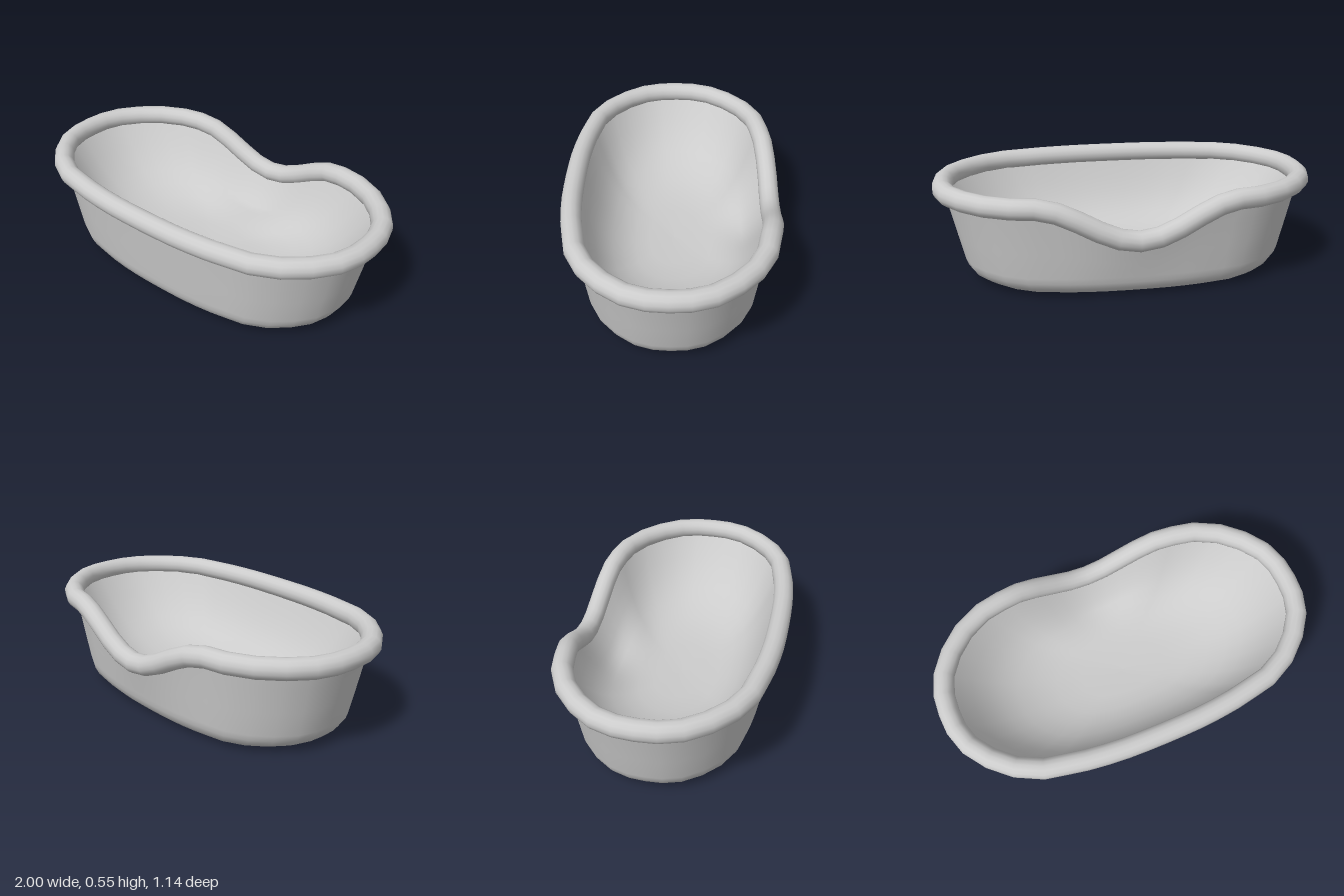
import * as THREE from 'three';

const RIM_Y = 0.492, RIM_R = 0.053, DIP = 0.175, DIP_HALF = 0.51;

// One quarter of the rim's centre line in plan, from the front centre to the left end
const QUARTER = [
  [0, 0.518], [0.1, 0.517], [0.2, 0.514], [0.3, 0.506], [0.4, 0.494], [0.5, 0.475], [0.61, 0.453],
  [0.735, 0.39], [0.835, 0.3], [0.908, 0.198], [0.941, 0.095], [0.947, 0],
];

// Full closed outline: front -> left -> back -> right, with the entry dip at the back
function rimPath() {
  const half = [...QUARTER, ...QUARTER.slice(0, -1).reverse().map(([x, z]) => [x, -z])];
  const plan = [...half, ...half.slice(1, -1).reverse().map(([x, z]) => [-x, z])];
  return plan.map(([x, z]) => {
    const inDip = z < 0 && Math.abs(x) < DIP_HALF;
    const drop = inDip ? DIP * 0.5 * (1 + Math.cos(Math.PI * x / DIP_HALF)) : 0;
    return new THREE.Vector3(x, RIM_Y - drop, z);
  });
}

// Skin over scaled copies of the outline; each row is [scale, height, share of the way up to the rim]
function loft(path, rows) {
  const n = path.length, pos = [], index = [];
  for (const [s, y, t] of rows)
    for (const p of path) pos.push(p.x * s, y + (p.y - y) * t, p.z * s);
  for (let i = 0; i < rows.length - 1; i++)
    for (let j = 0; j < n; j++) {
      const a = i * n + j, b = i * n + (j + 1) % n;
      index.push(a, b, b + n, a, b + n, a + n);
    }
  const g = new THREE.BufferGeometry();
  g.setAttribute('position', new THREE.Float32BufferAttribute(pos, 3));
  g.setIndex(index);
  g.computeVertexNormals();
  return g;
}

export function createModel() {
  const group = new THREE.Group();
  const material = new THREE.MeshStandardMaterial({ color: 0xcccccc, side: THREE.DoubleSide });
  const add = (name, geometry) => {
    const mesh = new THREE.Mesh(geometry, material);
    mesh.name = name;
    group.add(mesh);
  };
  const path = rimPath();

  // Base, rounded lower edge and flared wall, from the floor centre up to the rim
  add('outerShell', loft(path, [
    [0.001, 0, 0], [0.67, 0, 0], [0.75, 0.005, 0], [0.815, 0.02, 0], [0.862, 0.045, 0],
    [0.888, 0.078, 0], [0.9, 0.11, 0], [0.934, 0.11, 0.35], [0.967, 0.11, 0.7], [1, 0.11, 1],
  ]));

  // Soft bowl-shaped inside that follows the dip, easing into a shallow padded floor
  add('innerBowl', loft(path, [
    [0.985, 0, 1], [0.93, 0, 0.86], [0.87, 0, 0.72], [0.8, 0, 0.58], [0.72, 0, 0.46],
    [0.63, 0.08, 0.24], [0.52, 0.11, 0.08], [0.4, 0.115, 0], [0.25, 0.102, 0], [0.001, 0.097, 0],
  ]));

  // Thick round rim following the outline and the dip
  const curve = new THREE.CatmullRomCurve3(path, true);
  curve.getUtoTmapping = (u) => u;
  add('rim', new THREE.TubeGeometry(curve, path.length, RIM_R, 14, true));

  return group;
}
